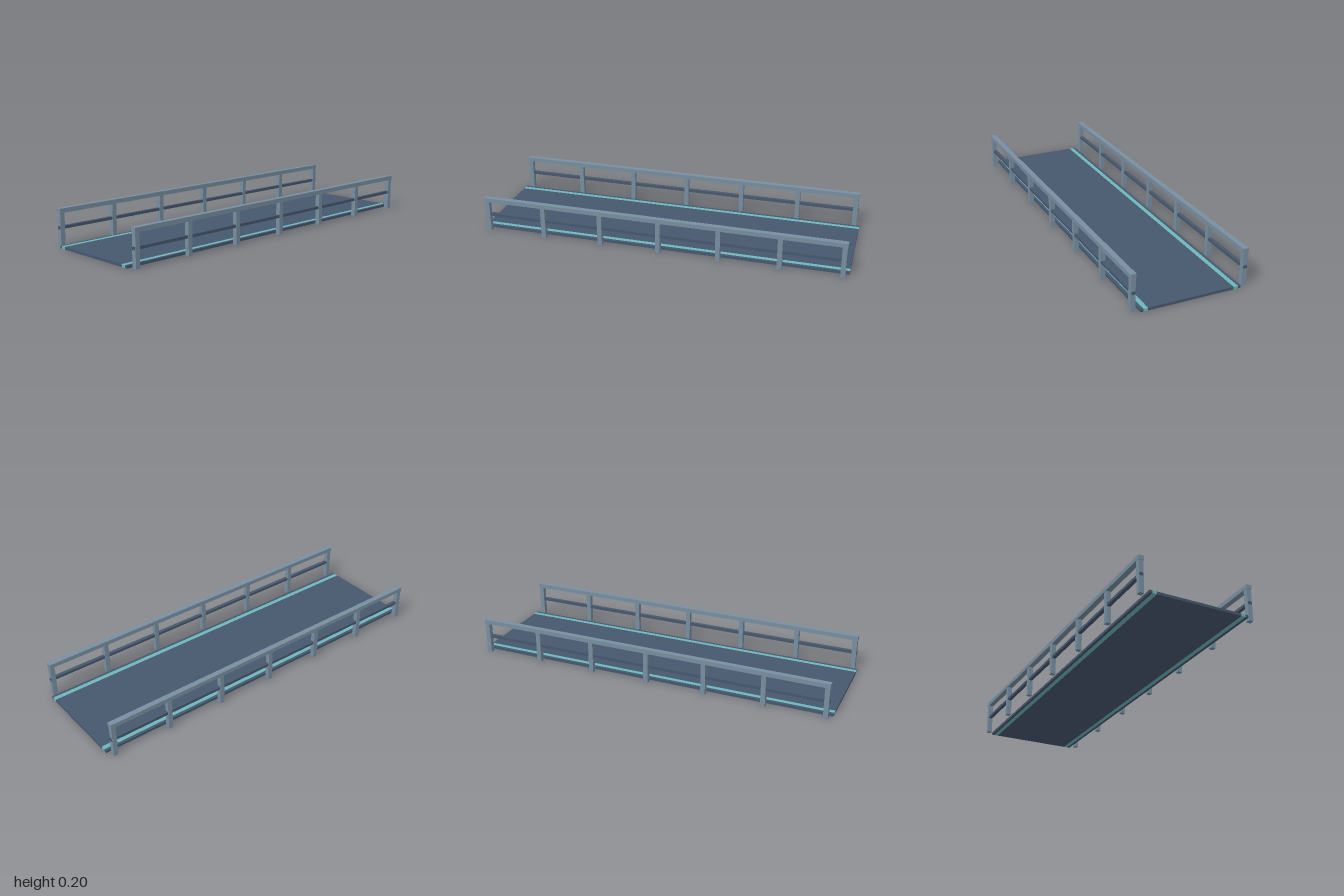
import * as THREE from 'three';

export function createModel() {
  const model = new THREE.Group();
  model.name = 'footbridge';

  const material = (name, color) => {
    const m = new THREE.MeshStandardMaterial({ color });
    m.name = name;
    return m;
  };
  const darkSlate = material('dark slate', 0x46576d);
  const steel = material('steel grey', 0x788ea0);
  const teal = material('teal', 0x6cb6bb);

  // Box given by its lower and upper bounds on each axis
  const addBox = (parent, name, mat, [x0, x1], [y0, y1], [z0, z1]) => {
    const mesh = new THREE.Mesh(new THREE.BoxGeometry(x1 - x0, y1 - y0, z1 - z0), mat);
    mesh.position.set((x0 + x1) / 2, (y0 + y1) / 2, (z0 + z1) / 2);
    mesh.name = name;
    parent.add(mesh);
  };
  const mirrored = (side, a, b) => (side > 0 ? [a, b] : [-b, -a]);

  // Walking deck between the inlaid strips
  const deckY = [0, 0.014];
  const deckZ = [-1, 1];
  addBox(model, 'deck', darkSlate, [-0.228, 0.228], deckY, deckZ);

  for (const side of [1, -1]) {
    const label = side > 0 ? 'left' : 'right';

    // Teal strip and outer deck edge
    addBox(model, label + 'Strip', teal, mirrored(side, 0.228, 0.252), deckY, deckZ);
    addBox(model, label + 'DeckEdge', darkSlate, mirrored(side, 0.252, 0.267), deckY, deckZ);

    // Railing: seven posts, top rail and middle rail
    const railing = new THREE.Group();
    railing.name = label + 'Railing';
    for (let i = -3; i <= 3; i++) {
      const z = i * 0.323;
      addBox(railing, 'post', steel, mirrored(side, 0.284, 0.309), [0, 0.174], [z - 0.0125, z + 0.0125]);
    }
    addBox(railing, 'topRail', steel, mirrored(side, 0.282, 0.311), [0.173, 0.196], [-0.984, 0.984]);
    addBox(railing, 'middleRail', darkSlate, mirrored(side, 0.287, 0.306), [0.09, 0.105], [-0.984, 0.984]);
    model.add(railing);
  }
  return model;
}
